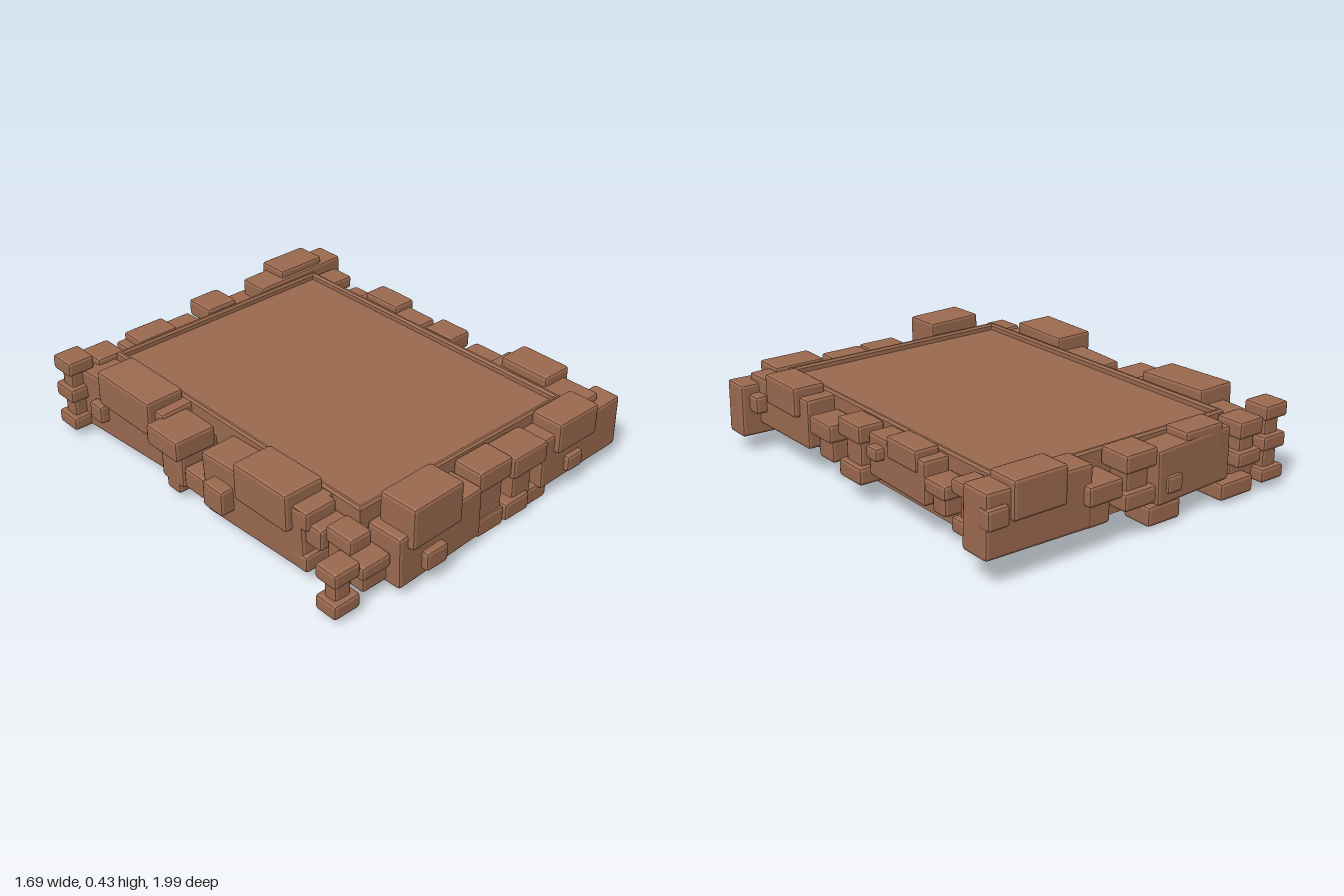
import * as THREE from 'three';
import { RoundedBoxGeometry } from 'three/addons/geometries/RoundedBoxGeometry.js';

const clay = new THREE.MeshStandardMaterial({ color: 0x9c6a50 });
clay.name = 'clay brown';

// Chamfered block given by its bounds, optionally tilted about its centre
function block(parent, name, [x0, x1], [y0, y1], [z0, z1], rot = [0, 0, 0]) {
  const w = x1 - x0, h = y1 - y0, d = z1 - z0;
  const geo = new RoundedBoxGeometry(w, h, d, 1, Math.min(0.014, Math.min(w, h, d) * 0.25));
  geo.computeVertexNormals();
  const mesh = new THREE.Mesh(geo, clay);
  mesh.name = name;
  mesh.position.set((x0 + x1) / 2, (y0 + y1) / 2, (z0 + z1) / 2);
  mesh.rotation.set(...rot);
  parent.add(mesh);
}

// Column of wide stones joined by a narrower core
function stack(parent, name, x, z, layers, inset = 0.025) {
  layers.forEach((y) => block(parent, name + 'Stone', x, y, z));
  block(parent, name + 'Core', [x[0] + inset, x[1] - inset],
    [layers[0][0] + 0.02, layers[layers.length - 1][1] - 0.02], [z[0] + inset, z[1] - inset]);
}

function side(root, name) {
  const g = new THREE.Group();
  g.name = name;
  root.add(g);
  return g;
}

function buildSlab(root) {
  const slab = side(root, 'slab');
  const floor = new THREE.Mesh(new THREE.BoxGeometry(1.2, 0.28, 1.61), clay);
  floor.name = 'floor';
  floor.position.set(0, 0.2, -0.02);
  slab.add(floor);

  // Raised rim around the floor
  const outline = (shape, w, h) => shape.moveTo(-w, -h).lineTo(w, -h).lineTo(w, h).lineTo(-w, h).closePath();
  const ring = outline(new THREE.Shape(), 0.592, 0.797);
  ring.holes.push(outline(new THREE.Path(), 0.582, 0.787));
  const rimGeo = new THREE.ExtrudeGeometry(ring, {
    depth: 0.02, bevelEnabled: true, bevelSize: 0.008, bevelThickness: 0.01, bevelSegments: 1,
  });
  rimGeo.rotateX(-Math.PI / 2);
  const rim = new THREE.Mesh(rimGeo, clay);
  rim.name = 'rim';
  rim.position.set(0, 0.34, -0.02);
  slab.add(rim);
}

function buildFront(root) {
  const g = side(root, 'frontWall');
  // Two broad panels with caps and studs
  block(g, 'panel', [-0.56, -0.08], [0.055, 0.3], [0.78, 0.955], [0, 0.03, 0.02]);
  block(g, 'panelCap', [-0.515, -0.23], [0.23, 0.425], [0.8, 0.985], [0, 0.03, -0.01]);
  block(g, 'stud', [-0.43, -0.31], [0.085, 0.175], [0.9, 0.99]);
  block(g, 'panel', [0.33, 0.84], [0.075, 0.325], [0.785, 0.92], [0, 0, 0.02]);
  block(g, 'panelCap', [0.4, 0.655], [0.23, 0.38], [0.785, 0.945]);
  block(g, 'stud', [0.48, 0.58], [0.1, 0.18], [0.88, 0.945]);
  // Middle stones
  block(g, 'middleStone', [-0.08, 0.115], [0.255, 0.355], [0.785, 0.935]);
  block(g, 'middleCore', [-0.055, 0.09], [0.08, 0.27], [0.78, 0.91]);
  block(g, 'middleStone', [0.11, 0.32], [0.24, 0.345], [0.785, 0.95]);
  block(g, 'middleCore', [0.155, 0.275], [0.08, 0.26], [0.78, 0.91]);
  // Low stones
  block(g, 'footStone', [-0.06, 0.1], [0.015, 0.105], [0.77, 0.92]);
  block(g, 'footStone', [0.1, 0.25], [0.025, 0.11], [0.77, 0.93]);
  block(g, 'footStone', [0.21, 0.4], [0, 0.085], [0.75, 0.9]);
  // Left end corner
  stack(g, 'corner', [-0.85, -0.715], [0.8, 0.915], [[0.035, 0.105], [0.185, 0.255]]);
  block(g, 'cornerStone', [-0.71, -0.56], [0.15, 0.215], [0.79, 0.92]);
  block(g, 'cornerCore', [-0.68, -0.54], [0.06, 0.17], [0.77, 0.89]);
  block(g, 'cornerCap', [-0.74, -0.625], [0.265, 0.34], [0.74, 0.88]);
  block(g, 'cornerCore', [-0.72, -0.58], [0.06, 0.3], [0.73, 0.82]);
}

function buildRight(root) {
  const g = side(root, 'plusXWall');
  const x = [0.605, 0.735];
  // Panels with caps and studs
  block(g, 'panel', [0.59, 0.745], [0.13, 0.36], [0.365, 0.87], [0, 0.02, 0]);
  block(g, 'panelCap', [0.61, 0.77], [0.265, 0.405], [0.425, 0.685]);
  block(g, 'stud', [0.72, 0.8], [0.2, 0.285], [0.72, 0.8]);
  block(g, 'panel', [0.59, 0.715], [0.16, 0.355], [-0.495, -0.08], [0, -0.02, 0]);
  block(g, 'panelCap', [0.61, 0.73], [0.29, 0.39], [-0.45, -0.24]);
  block(g, 'stud', [0.69, 0.755], [0.26, 0.32], [-0.205, -0.125]);
  // Small stones
  stack(g, 'middle', x, [-0.045, 0.125], [[0.095, 0.175], [0.28, 0.365]]);
  stack(g, 'end', [0.605, 0.725], [-0.805, -0.675], [[0.13, 0.195], [0.29, 0.355]]);
  block(g, 'tStone', [0.605, 0.755], [0.225, 0.31], [0.155, 0.33]);
  block(g, 'tStem', [0.59, 0.725], [0.12, 0.24], [0.185, 0.305]);
  block(g, 'tStone', x, [0.24, 0.305], [-0.65, -0.51]);
  block(g, 'tStem', [0.59, 0.71], [0.155, 0.26], [-0.62, -0.53]);
}

function buildLeft(root) {
  const g = side(root, 'minusXWall');
  // Tilted panels with caps and studs
  block(g, 'panel', [-0.76, -0.59], [0.055, 0.345], [-0.88, -0.26], [-0.05, 0.02, 0.02]);
  block(g, 'panelCap', [-0.8, -0.605], [0.24, 0.41], [-0.685, -0.32], [0.02, 0.02, 0]);
  block(g, 'stud', [-0.805, -0.74], [0.13, 0.22], [-0.77, -0.68]);
  block(g, 'panel', [-0.77, -0.59], [0.055, 0.345], [0.02, 0.64], [-0.05, 0, 0.02]);
  block(g, 'panelCap', [-0.805, -0.605], [0.24, 0.415], [0.265, 0.585], [-0.02, 0, 0]);
  block(g, 'stud', [-0.835, -0.75], [0.13, 0.25], [0.095, 0.22]);
  // Stones between the panels
  block(g, 'middleStone', [-0.83, -0.62], [0.24, 0.34], [-0.29, -0.08]);
  block(g, 'middleCore', [-0.79, -0.59], [0.08, 0.27], [-0.25, -0.1]);
  block(g, 'footStone', [-0.79, -0.64], [0.035, 0.12], [-0.22, -0.13]);
  block(g, 'middleStone', [-0.79, -0.6], [0.1, 0.2], [-0.09, 0.04]);
  stack(g, 'end', [-0.77, -0.61], [0.57, 0.665], [[0.07, 0.15], [0.27, 0.36]]);
  block(g, 'endStone', [-0.75, -0.6], [0.2, 0.3], [0.63, 0.725]);
}

function buildBack(root) {
  const g = side(root, 'backWall');
  // Panels with caps and studs
  block(g, 'panel', [-0.53, -0.1], [0.1, 0.345], [-0.945, -0.81], [0, 0.04, -0.02]);
  block(g, 'panelCap', [-0.48, -0.265], [0.25, 0.38], [-0.94, -0.81]);
  block(g, 'stud', [-0.235, -0.15], [0.14, 0.22], [-0.965, -0.88]);
  block(g, 'panel', [0.26, 0.775], [0.12, 0.395], [-0.965, -0.815], [0, 0, 0.02]);
  block(g, 'panelCap', [0.4, 0.66], [0.26, 0.43], [-0.985, -0.83]);
  block(g, 'stud', [0.675, 0.78], [0.25, 0.34], [-0.985, -0.92]);
  // Middle stones
  stack(g, 'middle', [-0.065, 0.105], [-0.985, -0.83], [[0.14, 0.22], [0.3, 0.385]]);
  block(g, 'tStone', [0.13, 0.305], [0.22, 0.31], [-1, -0.84]);
  block(g, 'tStem', [0.16, 0.28], [0.11, 0.25], [-0.96, -0.8]);
  // Low stones
  block(g, 'footStone', [-0.24, -0.06], [0.015, 0.105], [-0.95, -0.8]);
  block(g, 'footStone', [-0.665, -0.47], [0.02, 0.1], [-0.96, -0.8]);
  // Corner columns
  stack(g, 'corner', [-0.85, -0.715], [-0.965, -0.835], [[0.04, 0.105], [0.185, 0.255], [0.325, 0.395]]);
  stack(g, 'innerCorner', [-0.695, -0.555], [-0.97, -0.83], [[0.15, 0.22], [0.28, 0.36]]);
  block(g, 'cornerCore', [-0.75, -0.58], [0.06, 0.32], [-0.9, -0.76]);
}

export function createModel() {
  const root = new THREE.Group();
  root.name = 'blockBorderedSlab';
  [buildSlab, buildFront, buildRight, buildLeft, buildBack].forEach((build) => build(root));
  return root;
}
